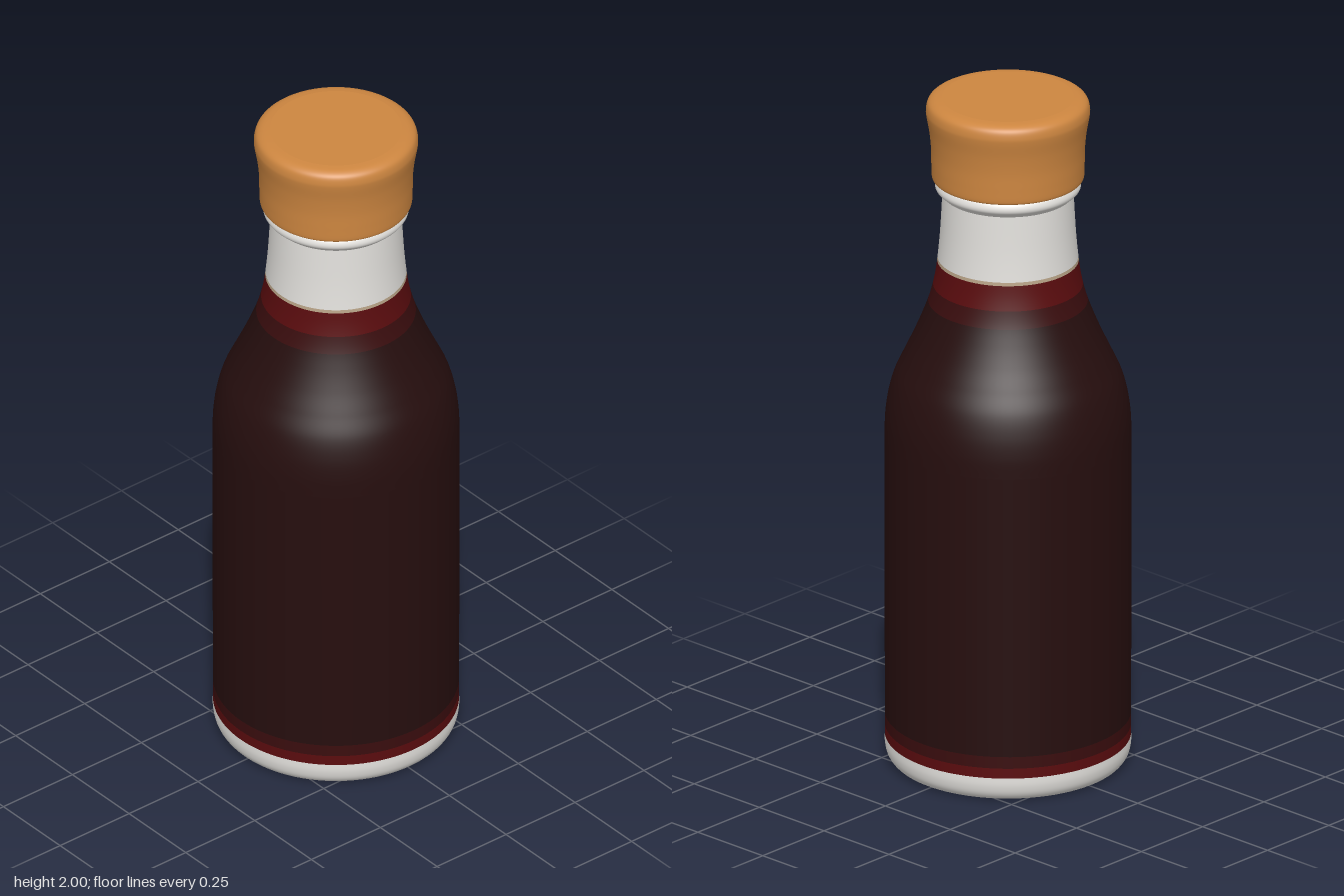
import * as THREE from 'three';

const mat = (name, color, side = THREE.FrontSide) => {
  const m = new THREE.MeshStandardMaterial({ color, side });
  m.name = name;
  return m;
};

const SEGMENTS = 96;
const v = (x, y) => new THREE.Vector2(x, y);

// Smooth outline from a few radius/height pairs
const smooth = (pairs, n) => new THREE.SplineCurve(pairs.map(([x, y]) => v(x, y))).getPoints(n);

export function createModel() {
  const group = new THREE.Group();
  const glass = mat('pale glass', 0xe2e0dc, THREE.DoubleSide);
  const dark = mat('dark liquid', 0x260e0e);
  const deepRed = mat('deep red liquid', 0x3a0d0e);
  const red = mat('red liquid', 0x5a0c0e);
  const tan = mat('tan rim', 0xb9a488);
  const cork = mat('cork', 0xcd8640);

  const lathe = (name, points, material) => {
    const mesh = new THREE.Mesh(new THREE.LatheGeometry(points, SEGMENTS), material);
    mesh.name = name;
    group.add(mesh);
  };

  // Side wall outline from the straight body up through shoulder and neck
  const wall = [
    v(0.345, 0.06),
    ...smooth([[0.346, 0.98], [0.344, 1.04], [0.336, 1.1], [0.32, 1.16], [0.293, 1.22],
      [0.265, 1.28], [0.24, 1.34], [0.219, 1.4], [0.205, 1.46], [0.197, 1.52],
      [0.19, 1.6], [0.184, 1.71]], 110),
  ];
  const radiusAt = (y) => {
    const i = Math.max(1, wall.findIndex((p) => p.y >= y));
    const a = wall[i - 1], b = wall[i];
    return THREE.MathUtils.mapLinear(y, a.y, b.y, a.x, b.x);
  };
  const band = (y0, y1) => [
    v(radiusAt(y0), y0),
    ...wall.filter((p) => p.y > y0 + 0.002 && p.y < y1 - 0.002),
    v(radiusAt(y1), y1),
  ];

  // Coloured levels of the filled bottle
  lathe('lowerRedBand', band(0.075, 0.105), red);
  lathe('lowerDeepRedBand', band(0.105, 0.14), deepRed);
  lathe('liquidBody', band(0.14, 1.385), dark);
  lathe('upperDeepRedBand', band(1.385, 1.435), deepRed);
  lathe('upperRedBand', band(1.435, 1.507), red);
  lathe('liquidRim', band(1.507, 1.517), tan);
  lathe('glassNeck', band(1.517, 1.71), glass);

  // Rounded glass foot and flat underside
  lathe('glassFoot', smooth([[0.305, 0], [0.325, 0.007], [0.339, 0.025], [0.345, 0.05], [0.345, 0.075]], 20), glass);
  lathe('underside', [v(0, 0), v(0.305, 0)], glass);

  // Raised ring and lip below the stopper
  lathe('neckRing', smooth([[0.184, 1.71], [0.19, 1.716], [0.202, 1.727], [0.205, 1.738],
    [0.201, 1.75], [0.194, 1.758], [0.193, 1.77]], 30), glass);

  // Flared stopper with rounded upper edge
  lathe('stopperBase', [v(0, 1.758), v(0.209, 1.758)], cork);
  lathe('stopperSide', smooth([[0.209, 1.758], [0.214, 1.765], [0.215, 1.8], [0.216, 1.85],
    [0.221, 1.9], [0.229, 1.945], [0.23, 1.965], [0.224, 1.985], [0.208, 1.996], [0.185, 2]], 50), cork);
  lathe('stopperTop', [v(0.185, 2), v(0, 2)], cork);

  return group;
}
